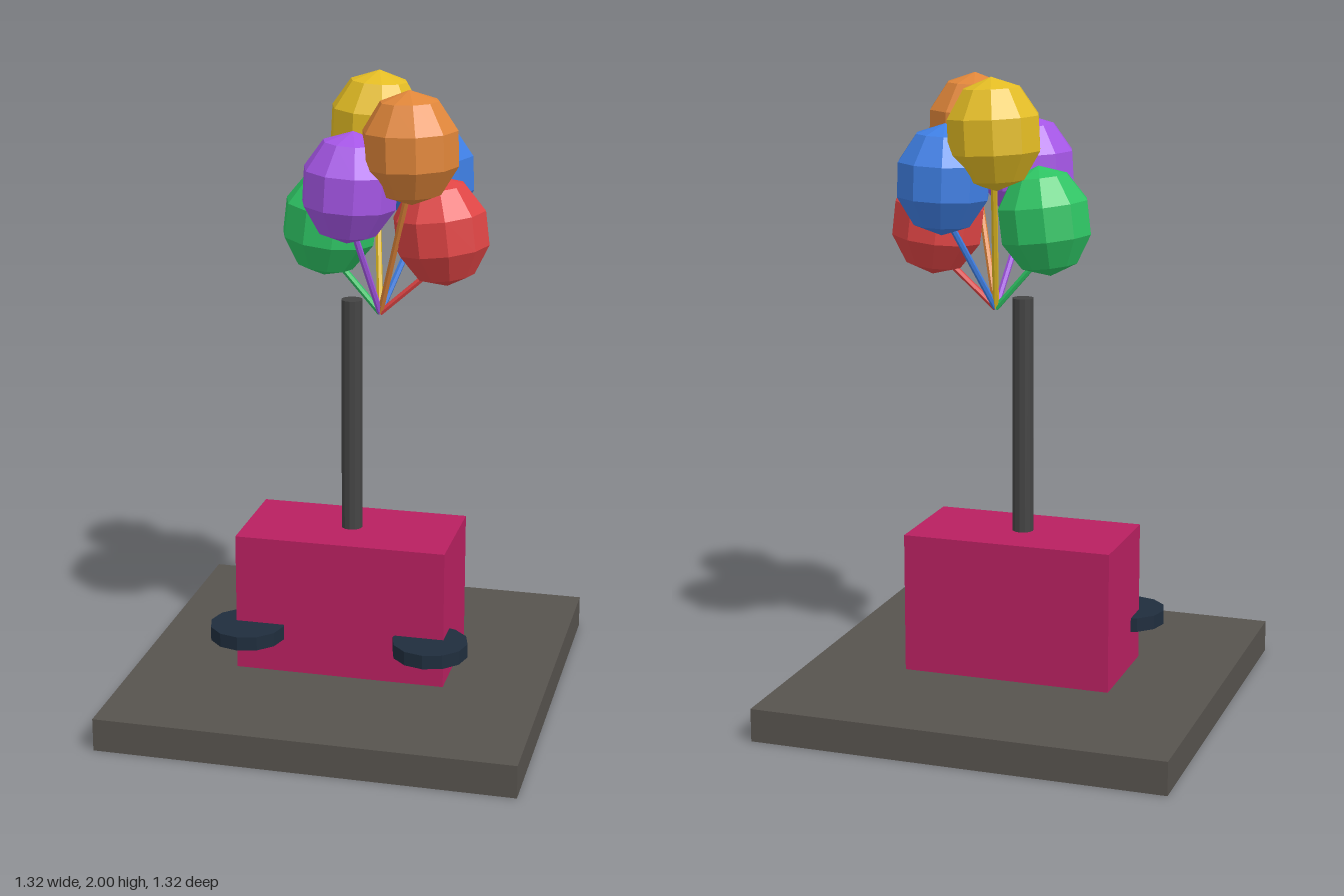
import * as THREE from 'three';

const mat = (name, color) => {
  const m = new THREE.MeshStandardMaterial({ color });
  m.name = name;
  m.flatShading = true;
  return m;
};

export function createModel() {
  const group = new THREE.Group();
  const add = (name, geometry, material, x, y, z, parent = group) => {
    const mesh = new THREE.Mesh(geometry, material);
    mesh.name = name;
    mesh.position.set(x, y, z);
    parent.add(mesh);
    return mesh;
  };

  // Ground slab, box body and pole
  add('base', new THREE.BoxGeometry(1.316, 0.105, 1.316), mat('stone', 0x57534e), 0, 0.0525, 0);
  add('body', new THREE.BoxGeometry(0.676, 0.45, 0.356), mat('magenta', 0xb82060), 0, 0.328, 0);
  add('pole', new THREE.CylinderGeometry(0.034, 0.034, 0.755, 12), mat('darkGrey', 0x444444), 0, 0.928, 0);

  // Round trays at the front corners
  const navy = mat('navy', 0x1f2d3d);
  for (const side of [-1, 1]) {
    add(side > 0 ? 'leftTray' : 'rightTray',
      new THREE.CylinderGeometry(0.12, 0.12, 0.045, 12), navy, side * 0.298, 0.243, 0.19);
  }

  // Balloons, each with a string down to a shared knot
  const knot = new THREE.Vector3(0.09, 1.268, 0);
  const up = new THREE.Vector3(0, 1, 0);
  const balloons = [
    ['green', 0x2ec464, -0.07, 1.55, 0, -0.12],
    ['red', 0xe04545, 0.28, 1.537, 0, 0.12],
    ['purple', 0xa556e6, 0.03, 1.69, 0.152, -0.06],
    ['orange', 0xe0863a, 0.215, 1.818, 0.152, 0.03],
    ['yellow', 0xe3bc24, 0.042, 1.828, -0.152, -0.05],
    ['blue', 0x3f7fe4, 0.205, 1.685, -0.152, 0.04],
  ];
  for (const [name, color, x, y, z, tilt] of balloons) {
    const material = mat(name, color);
    const set = new THREE.Group();
    set.name = name + 'BalloonAndString';
    group.add(set);
    const balloon = add(name + 'Balloon', new THREE.SphereGeometry(0.152, 10, 5), material, x, y, z, set);
    balloon.scale.y = 1.13;
    balloon.rotation.z = tilt;

    const end = new THREE.Vector3(x, y - 0.1, z);
    const dir = end.clone().sub(knot);
    const mid = end.clone().add(knot).multiplyScalar(0.5);
    const string = add(name + 'String', new THREE.CylinderGeometry(0.01, 0.01, dir.length(), 6),
      material, mid.x, mid.y, mid.z, set);
    string.quaternion.setFromUnitVectors(up, dir.normalize());
  }
  return group;
}
